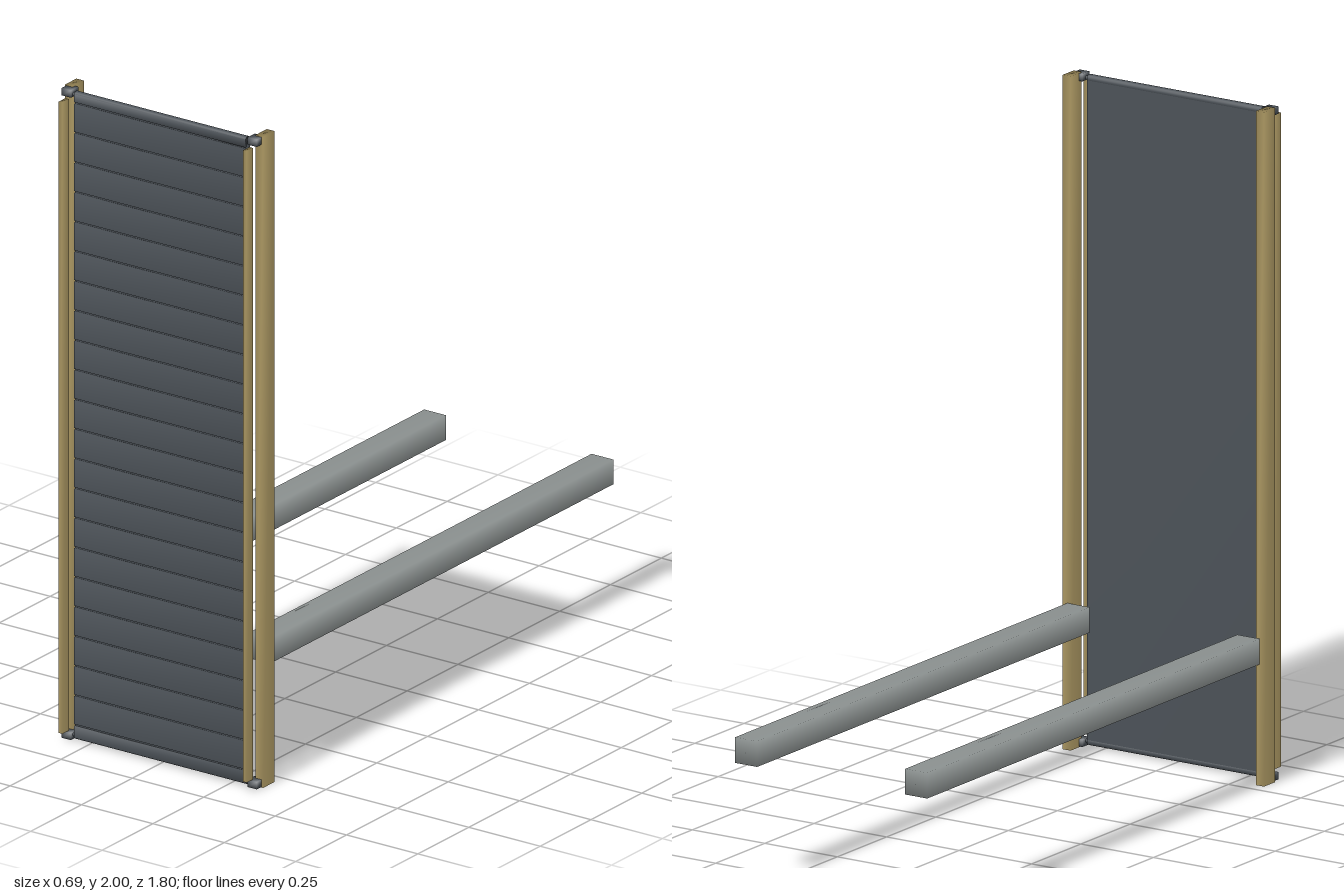
import * as THREE from 'three';
import { mergeVertices } from 'three/addons/utils/BufferGeometryUtils.js';

const paint = (color) => new THREE.MeshStandardMaterial({ color });
const gold = paint(0xb5a068);
const steel = paint(0x969c9b);
const dark = paint(0x4b5157);

// Box given by its min/max corners, with normals shared across the edges
function bar(name, [x0, x1], [y0, y1], [z0, z1], material) {
  let g = new THREE.BoxGeometry(x1 - x0, y1 - y0, z1 - z0);
  g.deleteAttribute('uv');
  g.deleteAttribute('normal');
  g = mergeVertices(g);
  g.computeVertexNormals();
  g.translate((x0 + x1) / 2, (y0 + y1) / 2, (z0 + z1) / 2);
  const mesh = new THREE.Mesh(g, material);
  mesh.name = name;
  return mesh;
}

function rod(name, radius, length, y, z) {
  const g = new THREE.CylinderGeometry(radius, radius, length, 16).rotateZ(Math.PI / 2);
  const mesh = new THREE.Mesh(g, dark);
  mesh.name = name;
  mesh.position.set(0, y, z);
  return mesh;
}

export function createModel() {
  const model = new THREE.Group();
  model.name = 'slattedPanelOnArms';

  // Posts, front rails, corner brackets and rear arms, mirrored
  for (const [side, s] of [['left', 1], ['right', -1]]) {
    const span = (a, b) => (s > 0 ? [a, b] : [-b, -a]);
    model.add(bar(side + 'Post', span(0.32, 0.347), [0, 2], [0.788, 0.844], gold));
    model.add(bar(side + 'FrontRail', span(0.316, 0.329), [0.03, 1.97], [0.868, 0.9], gold));
    model.add(bar(side + 'Arm', span(0.255, 0.331), [0.36, 0.436], [-0.9, 0.788], steel));
    for (const [end, y] of [['Lower', 0.002], ['Upper', 1.976]]) {
      model.add(bar(side + end + 'Bracket', span(0.309, 0.342), [y, y + 0.022], [0.832, 0.868], dark));
    }
  }

  // Panel core with a roller and axle at each end
  model.add(bar('panelBack', [-0.3, 0.3], [0.017, 1.983], [0.843, 0.861], dark));
  for (const y of [0.017, 1.983]) {
    model.add(rod('endRoller', 0.012, 0.6, y, 0.854));
    model.add(rod('axle', 0.006, 0.64, y, 0.854));
  }

  // Front slats separated by narrow grooves
  const slats = new THREE.Group();
  slats.name = 'slats';
  const pitch = 0.091, groove = 0.003, first = 0.05;
  for (let i = -1; i <= 21; i++) {
    const y0 = Math.max(0.012, first + i * pitch + groove);
    const y1 = Math.min(1.988, first + (i + 1) * pitch - groove);
    slats.add(bar('slat', [-0.3, 0.3], [y0, y1], [0.856, 0.866], dark));
  }
  model.add(slats);
  return model;
}
